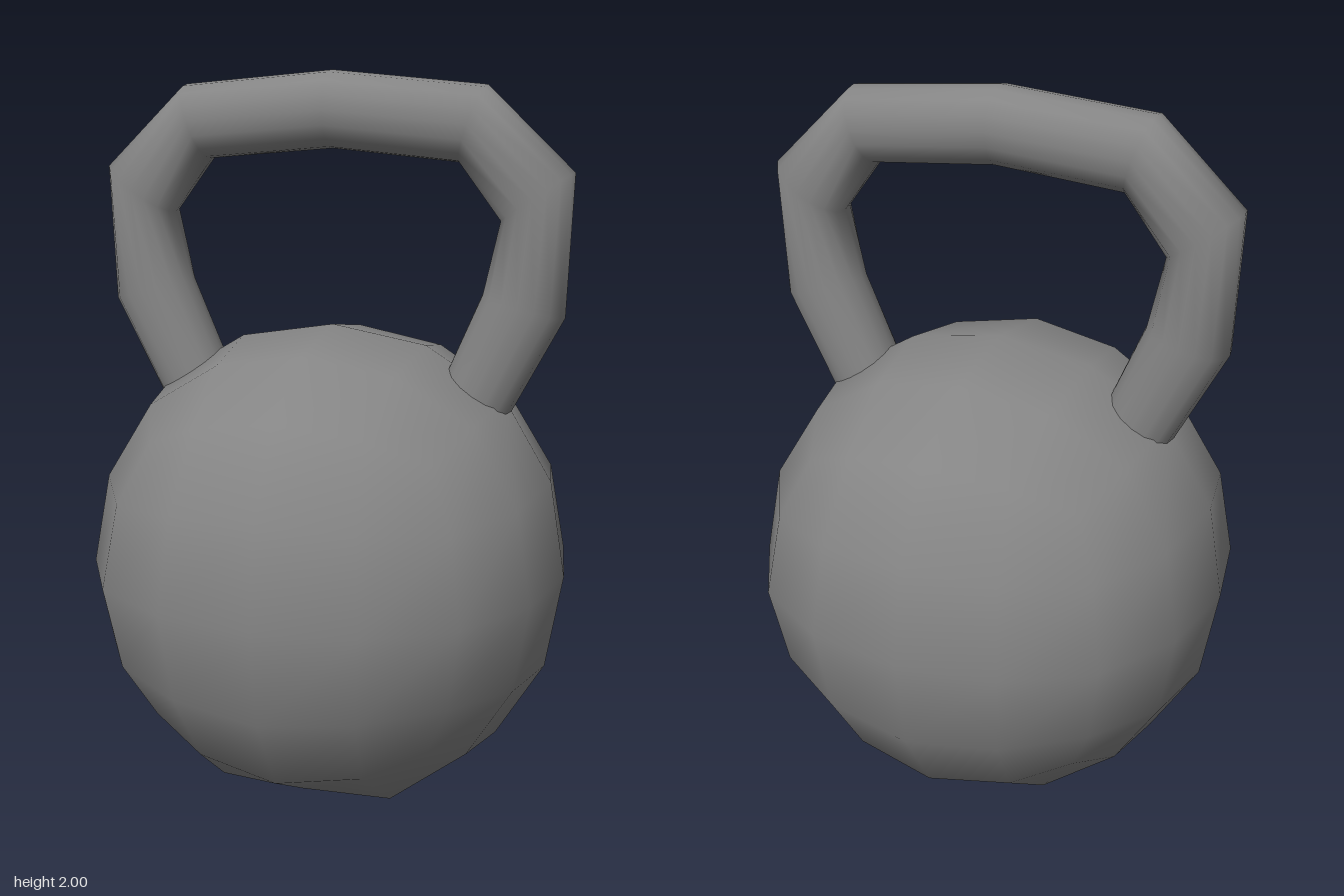
import * as THREE from 'three';
import { mergeVertices } from 'three/addons/utils/BufferGeometryUtils.js';

const material = new THREE.MeshStandardMaterial({ color: 0x858585 });

// Ball: a 4x4-per-side cube rounded by subdivision weights, with a flat square base
function ballGeometry() {
  const scale = 0.773, centreY = 0.623;
  // sorted grid distances from the cube centre -> rounded distance for grid steps 0, 1, 2
  const rounded = {
    '002': [0, 0, 0.8785],
    '012': [0, 0.3507, 0.8194],
    '022': [0, 0, 0.643],
    '112': [0, 0.3264, 0.7639],
    '122': [0, 0.302, 0.599],
    '222': [0, 0, 0.5093],
  };
  let geo = new THREE.BoxGeometry(4, 4, 4, 4, 4, 4);
  geo.deleteAttribute('normal');
  geo.deleteAttribute('uv');
  const pos = geo.attributes.position;
  for (let i = 0; i < pos.count; i++) {
    const p = [pos.getX(i), pos.getY(i), pos.getZ(i)].map(Math.round);
    const row = rounded[p.map(Math.abs).sort().join('')];
    const [x, y, z] = p.map((v) => Math.sign(v) * row[Math.abs(v)] * scale);
    const onBase = p[1] === -2 && Math.abs(p[0]) < 2 && Math.abs(p[2]) < 2;
    pos.setXYZ(i, x, onBase ? 0 : y + centreY, z);
  }
  geo = mergeVertices(geo);
  geo.computeVertexNormals();
  return geo;
}

// Handle: slightly squared rings lofted between the outer and inner outline of the loop
function handleGeometry() {
  const sides = 16, depth = 0.1;
  // outer x, outer y, inner x, inner y, from the middle down to inside the ball
  const half = [
    [0, 2, 0, 1.79],
    [0.43, 1.962, 0.36, 1.758],
    [0.669, 1.737, 0.475, 1.605],
    [0.656, 1.352, 0.43, 1.41],
    [0.41, 0.88, 0.268, 1.03],
  ];
  const mirrored = half.slice(1).reverse().map(([a, b, c, d]) => [-a, b, -c, d]);
  const rings = [...mirrored, ...half];
  const points = [], index = [];
  rings.forEach(([ox, oy, ix, iy], r) => {
    for (let s = 0; s < sides; s++) {
      const t = (s / sides) * Math.PI * 2;
      const bulge = 1 + 0.037 * Math.sin(2 * t) ** 2;
      const c = (bulge * Math.cos(t)) / 2;
      points.push((ox + ix) / 2 + (ox - ix) * c, (oy + iy) / 2 + (oy - iy) * c, depth * bulge * Math.sin(t));
      if (r === rings.length - 1) continue;
      const a = r * sides + s, b = r * sides + ((s + 1) % sides);
      index.push(a, b, a + sides, b, b + sides, a + sides);
    }
  });
  const geo = new THREE.BufferGeometry();
  geo.setAttribute('position', new THREE.Float32BufferAttribute(points, 3));
  geo.setIndex(index);
  geo.computeVertexNormals();
  return geo;
}

export function createModel() {
  const group = new THREE.Group();
  group.name = 'kettlebell';
  const add = (name, geometry) => {
    const mesh = new THREE.Mesh(geometry, material);
    mesh.name = name;
    group.add(mesh);
  };
  add('ball', ballGeometry());
  add('handle', handleGeometry());
  return group;
}
